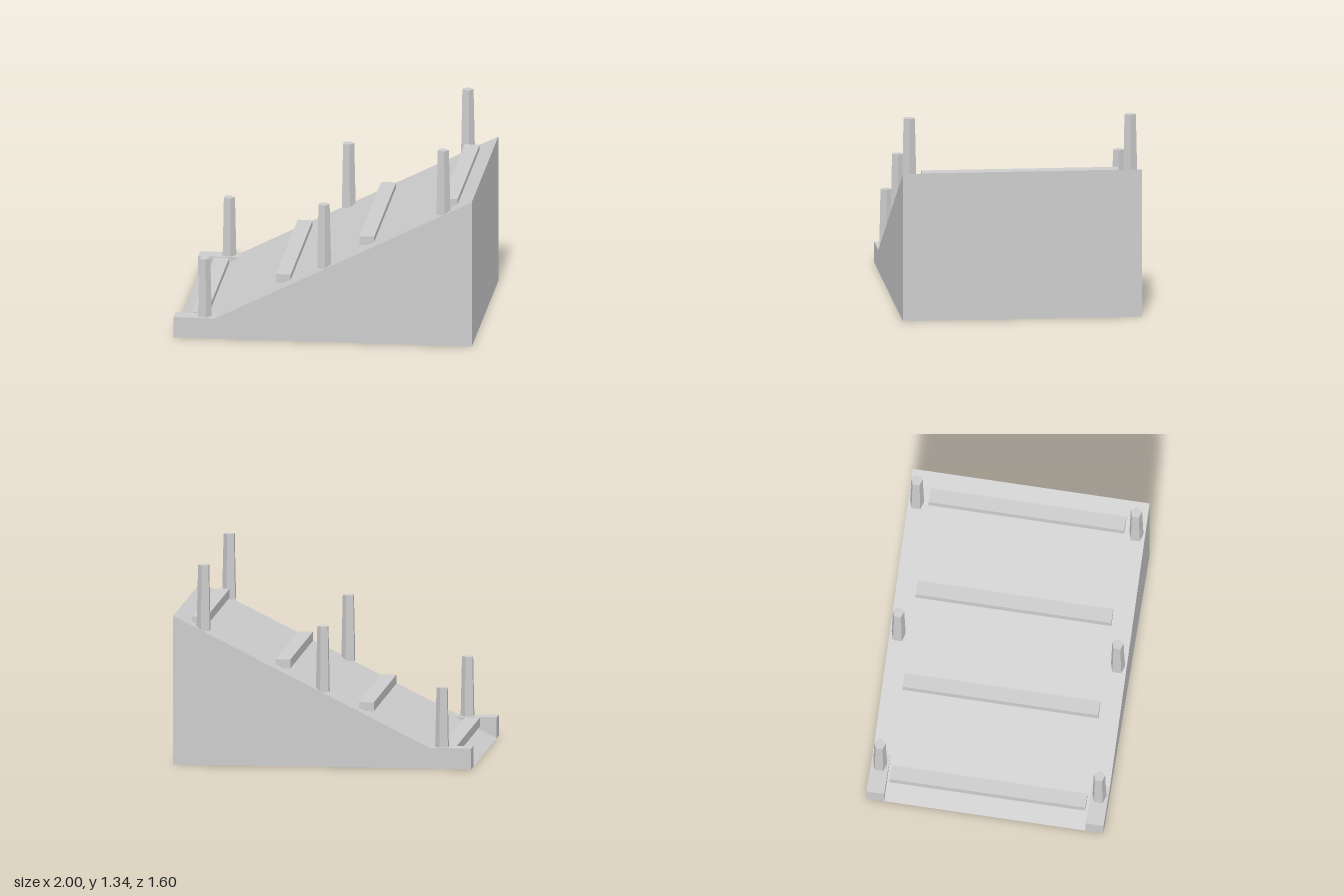
import * as THREE from 'three';

export function createModel() {
  const model = new THREE.Group();
  model.name = 'ramp';
  const grey = new THREE.MeshStandardMaterial({ color: 0xcccccc });
  grey.name = 'light grey';
  grey.flatShading = true;

  const slopeY = (x) => (x + 1) / 2;

  const add = (name, geometry, x = 0, y = 0, z = 0) => {
    const mesh = new THREE.Mesh(geometry, grey);
    mesh.name = name;
    mesh.position.set(x, y, z);
    model.add(mesh);
  };

  // Side profile in x and y, extruded along z
  const slab = (points, depth) => new THREE.ExtrudeGeometry(
    new THREE.Shape(points.map(([x, y]) => new THREE.Vector2(x, y))),
    { depth, bevelEnabled: false }
  );

  // Sloping deck between the two curbed sides
  add('deck', slab([[-1, 0], [1, 0], [1, 1]], 1.36), 0, 0, -0.68);

  // Sides, each with a level curb at the low end
  const side = slab([[-1, 0], [1, 0], [1, 1], [-0.72, 0.14], [-1, 0.14]], 0.12);
  add('leftSide', side, 0, 0, 0.68);
  add('rightSide', side, 0, 0, -0.8);

  // Level cross slats up the slope
  const slat = new THREE.BoxGeometry(0.1, 0.06, 1.32);
  for (const x of [-0.84, -0.28, 0.28, 0.84]) {
    add('slat', slat, x, slopeY(x) + 0.03, 0);
  }

  // Tapered five-sided posts along both edges
  const post = new THREE.CylinderGeometry(0.04, 0.05, 0.44, 5, 1, false, Math.PI / 2);
  for (const x of [-0.8, 0, 0.8]) {
    for (const z of [-0.74, 0.74]) add('post', post, x, slopeY(x) + 0.22, z);
  }

  return model;
}
